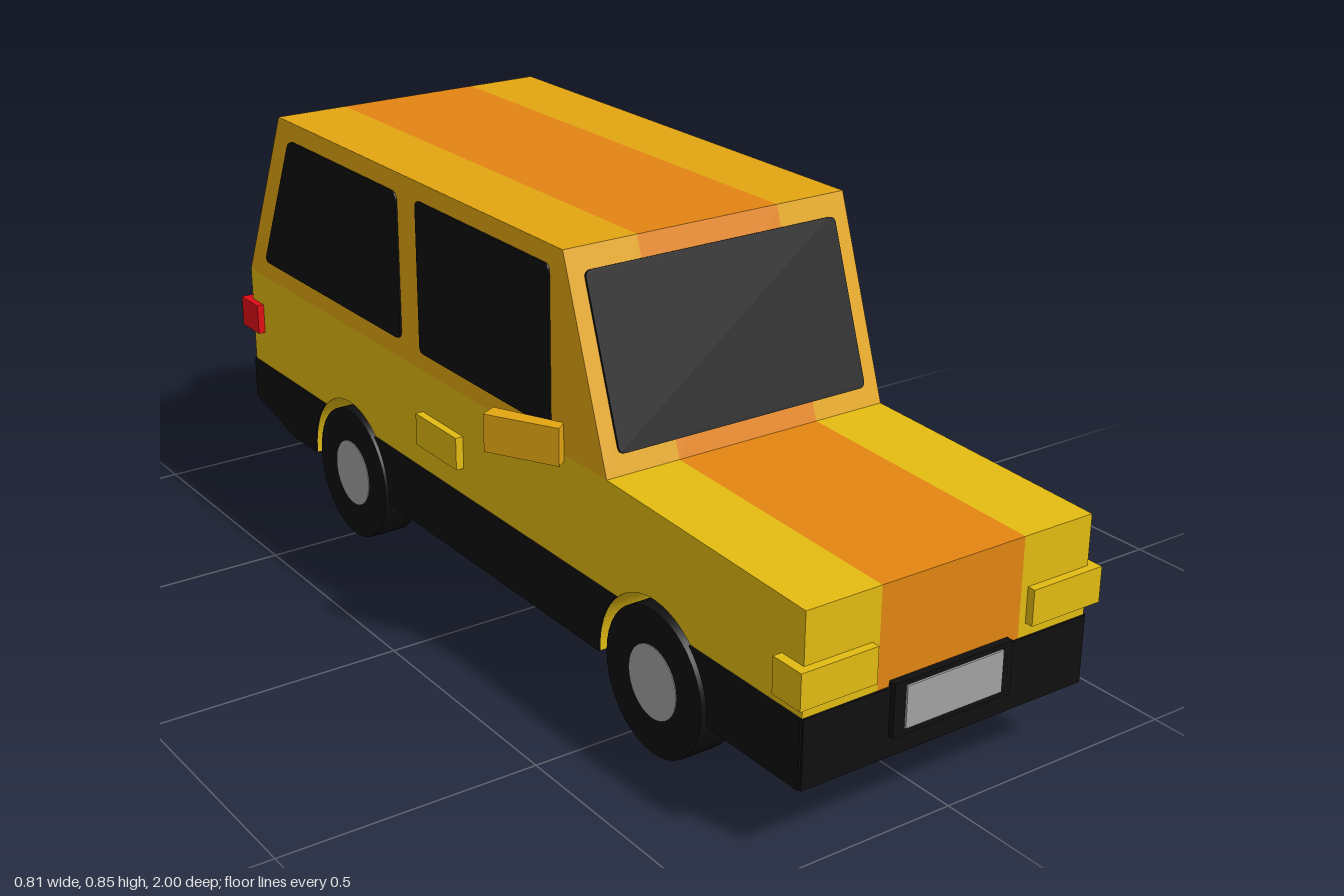
import * as THREE from 'three';

const mat = (name, color) => new THREE.MeshStandardMaterial({ name, color });

export function createModel() {
  const car = new THREE.Group();
  car.name = 'car';
  const yellow = mat('yellow paint', 0xe3bb12);
  const amber = mat('amber paint', 0xe3a612);
  const orange = mat('orange stripe', 0xe38512);
  const black = mat('black trim', 0x0f0f0f);
  const grey = mat('grey metal', 0xa2a2a2);
  const red = mat('red lamp', 0xe00c14);

  const add = (name, geometry, material) => {
    const mesh = new THREE.Mesh(geometry, material);
    mesh.name = name;
    car.add(mesh);
    return mesh;
  };
  // Box given by its extents
  const box = (name, m, x0, x1, y0, y1, z0, z1) =>
    add(name, new THREE.BoxGeometry(x1 - x0, y1 - y0, z1 - z0), m)
      .position.set((x0 + x1) / 2, (y0 + y1) / 2, (z0 + z1) / 2);
  // Side profile (z, y) extruded from x0 to x1
  const slice = (name, m, shape, x0, x1) => {
    const g = new THREE.ExtrudeGeometry(shape, { depth: x1 - x0, bevelEnabled: false, curveSegments: 20 });
    g.rotateY(-Math.PI / 2).translate(x1, 0, 0);
    add(name, g, m);
  };
  const polygon = (points) => new THREE.Shape(points.map(([a, b]) => new THREE.Vector2(a, b)));
  // Polygon with softened corners
  const rounded = (points, r = 0.014) => {
    const p = points.map(([a, b]) => new THREE.Vector2(a, b));
    const s = new THREE.Shape();
    p.forEach((c, i) => {
      const toward = (q) => c.clone().add(q.clone().sub(c).setLength(r));
      const a = toward(p[(i + p.length - 1) % p.length]);
      const b = toward(p[(i + 1) % p.length]);
      if (i) s.lineTo(a.x, a.y); else s.moveTo(a.x, a.y);
      s.quadraticCurveTo(c.x, c.y, b.x, b.y);
    });
    s.closePath();
    return s;
  };

  const W = 0.31, S = 0.155, FRONT = 0.58, REAR = -0.5, AXLE = 0.14, ARCH = 0.16;

  // Lower body with wheel arches cut right through, and the cabin above
  const body = new THREE.Shape();
  body.moveTo(-0.94, 0.17);
  body.lineTo(-0.76, 0.13);
  for (const z of [REAR, FRONT]) {
    body.lineTo(z - ARCH, 0.13);
    body.absarc(z, AXLE, ARCH, Math.PI, 0, true);
    body.lineTo(z + ARCH, 0.13);
  }
  body.lineTo(0.98, 0.13);
  body.lineTo(0.98, 0.45);
  body.lineTo(0.44, 0.47);
  body.lineTo(-0.94, 0.47);
  body.closePath();
  const cabin = polygon([[-0.94, 0.47], [0.44, 0.47], [0.308, 0.85], [-0.76, 0.85]]);
  for (const [side, x0, x1] of [['right', -W, -S], ['centre', -S, S], ['left', S, W]]) {
    const stripe = side === 'centre';
    slice(`${side} body`, stripe ? orange : yellow, body, x0, x1);
    slice(`${side} cabin`, stripe ? orange : amber, cabin, x0, x1);
  }

  // Black lower band, broken by the arches
  const A = Math.asin(0.12 / ARCH), PI = Math.PI;
  const bandRear = new THREE.Shape();
  bandRear.moveTo(-0.94, 0.17);
  bandRear.lineTo(-0.76, 0.13);
  bandRear.lineTo(REAR - ARCH, 0.13);
  bandRear.absarc(REAR, AXLE, ARCH, PI, PI - A, true);
  bandRear.lineTo(-0.94, 0.26);
  const bandMiddle = new THREE.Shape();
  bandMiddle.moveTo(REAR + ARCH, 0.13);
  bandMiddle.lineTo(FRONT - ARCH, 0.13);
  bandMiddle.absarc(FRONT, AXLE, ARCH, PI, PI - A, true);
  bandMiddle.absarc(REAR, AXLE, ARCH, A, 0, true);
  const bandFront = new THREE.Shape();
  bandFront.moveTo(FRONT + ARCH, 0.13);
  bandFront.lineTo(0.98, 0.13);
  bandFront.lineTo(0.98, 0.26);
  bandFront.absarc(FRONT, AXLE, ARCH, A, 0, true);
  box('front band', black, -W, W, 0.13, 0.26, 0.98, 0.984);
  box('rear band', black, -W, W, 0.17, 0.26, -0.944, -0.94);

  // Side windows
  const sideWindows = [
    rounded([[-0.193, 0.507], [0.267, 0.507], [0.267, 0.813], [-0.193, 0.813]]),
    rounded([[-0.858, 0.51], [-0.267, 0.51], [-0.267, 0.81], [-0.715, 0.81]], 0.02),
  ];

  // Windscreen and rear window lie on the sloping ends
  const slopedGlass = (name, halfWidth, y0, y1, [zBottom, zTop], turn) => {
    const run = Math.abs(zBottom - zTop), tilt = Math.atan2(run, 0.38);
    const h = (y1 - y0) / Math.cos(tilt) / 2;
    const g = new THREE.ExtrudeGeometry(
      rounded([[-halfWidth, -h], [halfWidth, -h], [halfWidth, h], [-halfWidth, h]]),
      { depth: 0.005, bevelEnabled: false });
    const glass = add(name, g, black);
    const yMid = (y0 + y1) / 2;
    glass.rotation.order = 'YXZ';
    glass.rotation.set(-tilt, turn, 0);
    glass.position.set(0, yMid, zBottom + (zTop - zBottom) * (yMid - 0.47) / 0.38);
  };
  slopedGlass('windscreen', 0.277, 0.505, 0.81, [0.44, 0.308], 0);
  slopedGlass('rear window', 0.265, 0.525, 0.81, [-0.94, -0.76], PI);

  // Tyre with a hub cap on its outer face, axis along +z
  const wheel = (name) => {
    const group = new THREE.Group();
    group.name = name;
    const tyre = new THREE.Mesh(new THREE.CylinderGeometry(0.14, 0.14, 0.075, 40).rotateX(PI / 2), black);
    tyre.name = 'tyre';
    const hub = new THREE.Mesh(new THREE.CylinderGeometry(0.07, 0.07, 0.006, 32).rotateX(PI / 2), grey);
    hub.name = 'hub cap';
    hub.position.z = 0.036;
    group.add(tyre, hub);
    car.add(group);
    return group;
  };
  const spare = wheel('spare wheel');
  spare.rotation.y = PI;
  spare.position.set(0, 0.525, -0.961);

  // Parts repeated on both sides
  for (const s of [1, -1]) {
    const side = s > 0 ? 'left' : 'right';
    const mirrored = (a, b) => (s > 0 ? [a, b] : [-b, -a]);
    const skin = mirrored(W, W + 0.004);
    [bandRear, bandMiddle, bandFront].forEach((b, i) =>
      slice(`${side} ${['rear', 'middle', 'front'][i]} band`, black, b, ...skin));
    sideWindows.forEach((w, i) => slice(`${side} ${['front', 'rear'][i]} window`, black, w, ...skin));

    for (const [end, z] of [['front', FRONT], ['rear', REAR]]) {
      const w = wheel(`${side} ${end} wheel`);
      w.rotation.y = s * PI / 2;
      w.position.set(s * 0.273, AXLE, z);
    }
    box(`${side} headlight`, yellow, ...mirrored(0.17, 0.328), 0.285, 0.353, 0.925, 0.996);
    box(`${side} tail light`, red, ...mirrored(0.168, 0.325), 0.335, 0.4, -0.965, -0.888);
    box(`${side} door handle`, yellow, ...mirrored(0.3, 0.326), 0.316, 0.382, -0.195, -0.043);

    // Swept-back door mirror, drawn in plan (x, -z)
    const plan = polygon([[0.308, -0.305], [0.33, -0.322], [0.404, -0.19], [0.372, -0.172]]
      .map(([x, y]) => [s * x, y]));
    const g = new THREE.ExtrudeGeometry(plan, { depth: 0.073, bevelEnabled: false });
    add(`${side} mirror`, g.rotateX(-PI / 2).translate(0, 0.457, 0), amber);
  }

  // Number plates in black frames
  box('front plate frame', black, -0.13, 0.13, 0.17, 0.271, 0.975, 0.995);
  box('front plate', grey, -0.106, 0.106, 0.183, 0.262, 0.99, 0.999);
  box('rear plate frame', black, -0.13, 0.13, 0.21, 0.311, -0.955, -0.935);
  box('rear plate', grey, -0.106, 0.106, 0.222, 0.3, -0.959, -0.95);

  return car;
}
